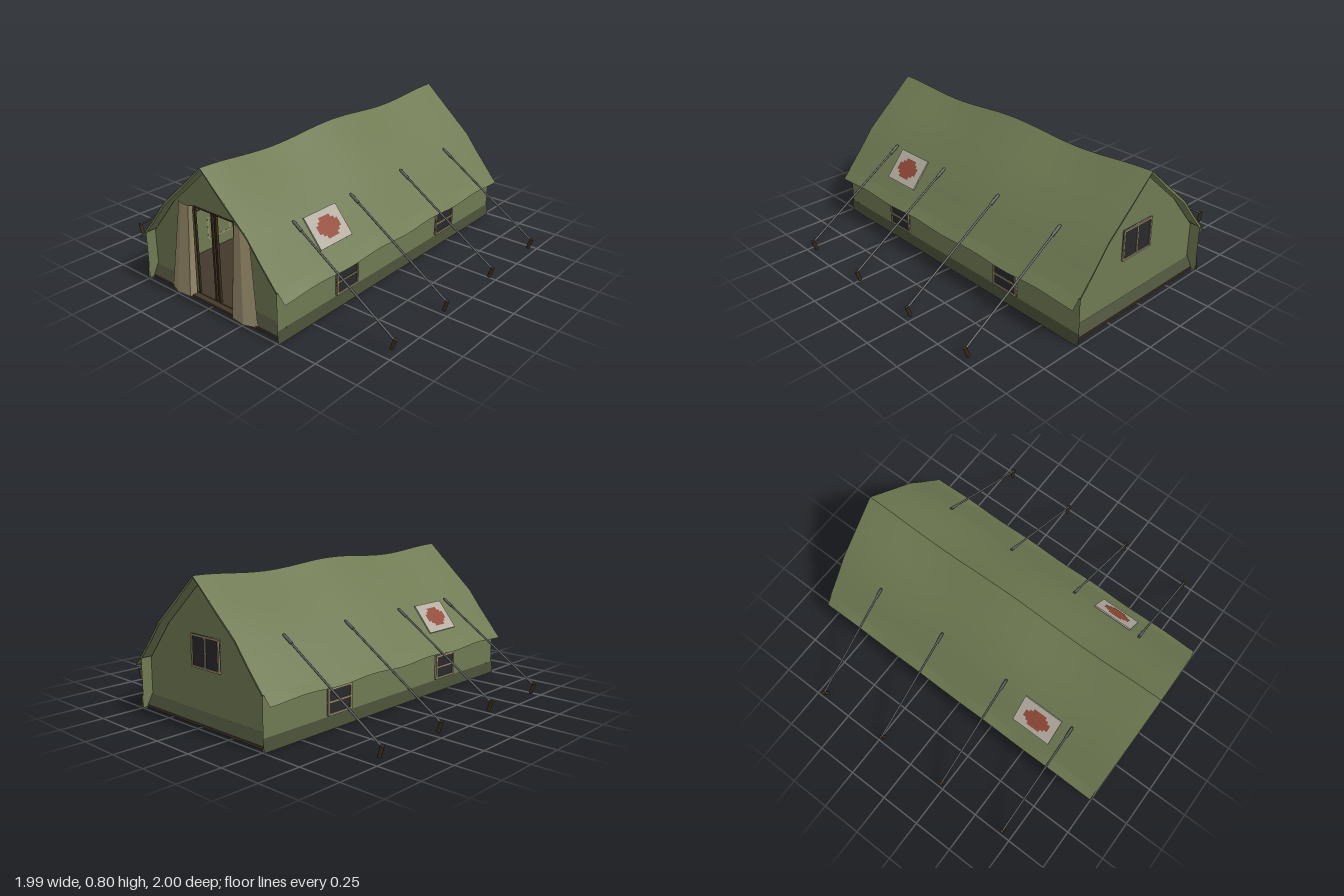
import * as THREE from 'three';
import { toCreasedNormals } from 'three/addons/utils/BufferGeometryUtils.js';

const mat = (name, color, side = THREE.FrontSide) => {
  const m = new THREE.MeshStandardMaterial({ color, side });
  m.name = name;
  return m;
};

// Surface from a rule fn(u, v) -> [x, y, z]; flip reverses the facing
function grid(fn, nu, nv, flip = false) {
  const pos = [], idx = [];
  for (let j = 0; j <= nv; j++) for (let i = 0; i <= nu; i++) pos.push(...fn(i / nu, j / nv));
  for (let j = 0; j < nv; j++) for (let i = 0; i < nu; i++) {
    const a = j * (nu + 1) + i, b = a + 1, c = a + nu + 1, d = c + 1;
    if (flip) idx.push(a, c, b, b, c, d);
    else idx.push(a, b, c, b, d, c);
  }
  const g = new THREE.BufferGeometry();
  g.setAttribute('position', new THREE.Float32BufferAttribute(pos, 3));
  g.setIndex(idx);
  return toCreasedNormals(g, 0.25);
}

export function createModel() {
  const tent = new THREE.Group();
  tent.name = 'tent';
  const D = THREE.DoubleSide;
  const canvas = mat('olive canvas', 0x6f7a52, D);
  const skirtMat = mat('dark olive skirt', 0x4a4f38, D);
  const tan = mat('tan lining', 0x978a6a, D);
  const floorMat = mat('brown floor', 0x43382a);
  const wood = mat('dark wood', 0x3a2d1c);
  const glass = mat('dark glass', 0x29292d);
  const ropeMat = mat('grey rope', 0x5c5d60);
  const white = mat('off white patch', 0xb5afa2, D);
  const red = mat('red patch', 0x924a38, D);

  const add = (name, geo, material, parent = tent) => {
    const m = new THREE.Mesh(geo, material);
    m.name = name;
    parent.add(m);
    return m;
  };
  const box = (name, w, h, d, x, y, z, material, parent) => {
    const m = add(name, new THREE.BoxGeometry(w, h, d), material, parent);
    m.position.set(x, y, z);
    return m;
  };
  // Straight rod between two points
  const rod = (name, a, b, r, material) => {
    const dir = b.clone().sub(a);
    const m = add(name, new THREE.CylinderGeometry(r, r, dir.length(), 8), material);
    m.position.copy(a).add(b).multiplyScalar(0.5);
    m.quaternion.setFromUnitVectors(new THREE.Vector3(0, 1, 0), dir.normalize());
  };
  // Framed window facing +z, with a bar across or upright
  const makeWindow = (w, h, upright) => {
    const g = new THREE.Group(), t = 0.011;
    g.name = 'window';
    box('windowGlass', w, h, 0.006, 0, 0, 0.004, glass, g);
    for (const k of [-1, 1]) {
      box('windowFrame', w, t, 0.014, 0, k * (h - t) / 2, 0.005, tan, g);
      box('windowFrame', t, h, 0.014, k * (w - t) / 2, 0, 0.005, tan, g);
    }
    if (upright) box('windowBar', 0.012, h, 0.012, 0, 0, 0.005, tan, g);
    else box('windowBar', w, 0.009, 0.012, 0, 0, 0.005, tan, g);
    tent.add(g);
    return g;
  };

  const gableZ = 0.93;
  box('floor', 0.99, 0.012, 1.94, 0, 0.006, 0, floorMat);

  // Gable ends, the front one with a doorway
  const gable = (door) => {
    const s = new THREE.Shape();
    s.moveTo(-0.5, 0);
    if (door) {
      s.lineTo(-0.155, 0); s.lineTo(-0.155, 0.53);
      s.lineTo(0.155, 0.53); s.lineTo(0.155, 0);
    }
    s.lineTo(0.5, 0); s.lineTo(0.5, 0.28); s.lineTo(0.31, 0.51);
    s.lineTo(0, 0.785); s.lineTo(-0.31, 0.51); s.lineTo(-0.5, 0.28);
    return new THREE.ShapeGeometry(s);
  };
  add('frontWall', gable(true), canvas).position.z = gableZ;
  const back = add('backWall', gable(false), canvas);
  back.position.z = -gableZ;
  back.rotation.y = Math.PI;
  const backWindow = makeWindow(0.23, 0.18, true);
  backWindow.position.set(0, 0.39, -gableZ);
  backWindow.rotation.y = Math.PI;

  // Flared skirt across the back
  add('backSkirt', grid((u, v) => [(0.5 - u) * 1.0, 0.07 * v, -0.97 + 0.036 * v], 1, 1), skirtMat);

  // Roof profile, sagging between the ridge supports
  const roofLine = [[0, 0.8], [0.16, 0.657], [0.315, 0.52], [0.405, 0.407], [0.508, 0.287]];
  const sag = (z) => 0.0135 * (1 - Math.cos(2 * Math.PI * z));

  for (const s of [-1, 1]) {
    const L = s < 0;
    // Roof slope and the hanging eave flap with a wavy hem
    add('roofSlope', grid((u, v) => {
      const i = Math.round(u * 4), z = 1 - 2 * v;
      const k = [1, 0.8, 0.25, 0.1, 0][i];
      return [s * roofLine[i][0], roofLine[i][1] - sag(z) * k, z];
    }, 4, 32, L), canvas);
    add('eaveFlap', grid((u, v) => {
      const z = 0.995 - 1.99 * v, hem = 0.243 - 0.006 * Math.cos(4 * Math.PI * z);
      return [s * (0.506 + 0.049 * u), 0.291 + (hem - 0.291) * u, z];
    }, 1, 32, L), canvas);
    // Thick hem along both roof edges
    for (const z of [-0.996, 0.996]) {
      add('roofHem', grid((u, v) => {
        const p = roofLine[Math.round(u * 4)];
        return [s * Math.max(p[0] - 0.008 * v, 0), p[1] - 0.012 * v, z];
      }, 4, 1, (z > 0) === L), canvas);
    }

    // Side wall and skirt
    add('sideWall', grid((u, v) => [s * 0.5, 0.287 * (1 - u), 0.995 - 1.99 * v], 1, 1, L), canvas);
    add('sideSkirt', grid((u, v) => [s * (0.503 + 0.009 * u), 0.07 * (1 - u), 1 - 2 * v], 1, 1, L), skirtMat);
    add('frontSkirt', grid((u, v) => [s * (0.16 + 0.345 * u), 0.07 * v, 0.97 - 0.036 * v], 1, 1, L), skirtMat);

    // Side windows
    for (const z of [-0.465, 0.465]) {
      const w = makeWindow(0.18, 0.145, false);
      w.position.set(s * 0.501, 0.148, z);
      w.rotation.y = s * Math.PI / 2;
    }

    // Door curtain, folded back and flared at the foot
    const topX = [0.155, 0.172, 0.22, 0.262], footX = [0.152, 0.165, 0.255, 0.332];
    const topZ = [0.935, 0.95, 0.955, 0.937], footZ = [0.945, 0.985, 0.995, 0.965];
    add('doorCurtain', grid((u, v) => {
      const i = Math.round(u * 3);
      return [s * (footX[i] + (topX[i] - footX[i]) * v), 0.004 + 0.528 * v,
        footZ[i] + (topZ[i] - footZ[i]) * v];
    }, 3, 1, L), tan);

    // Door posts
    box('doorPost', 0.01, 0.53, 0.012, s * 0.15, 0.265, 0.925, wood);
    box('centrePost', 0.012, 0.53, 0.016, s * 0.013, 0.265, 0.925, wood);

    // Roof patch with a stepped red mark
    const patch = new THREE.Group();
    patch.name = 'roofPatch';
    const plate = box('patchPlate', 0.25, 0.19, 0.008, 0, 0, 0, white, patch);
    plate.position.z = 0.002;
    const mark = new THREE.Shape();
    const q = [[0.083, 0.024], [0.062, 0.024], [0.062, 0.04], [0.042, 0.04], [0.042, 0.06]];
    const r = [...q].reverse();
    mark.setFromPoints([
      ...q, ...r.map(([x, y]) => [-x, y]),
      ...q.map(([x, y]) => [-x, -y]), ...r.map(([x, y]) => [x, -y]),
    ].map(([x, y]) => new THREE.Vector2(x, y)));
    add('patchMark', new THREE.ShapeGeometry(mark), red, patch).position.z = 0.009;
    patch.rotation.order = 'YXZ';
    patch.rotation.set(-Math.atan2(0.193, 0.233), s * Math.PI / 2, 0);
    patch.position.set(s * 0.399, 0.423, 0.5);
    tent.add(patch);

    // Guy ropes and pegs
    for (const z of [-0.695, -0.232, 0.232, 0.69]) {
      const V = (x, y) => new THREE.Vector3(s * x, y, z);
      rod('guyRope', V(0.33, 0.503), V(0.982, 0.073), 0.006, ropeMat);
      rod('ropeToggle', V(0.335, 0.5), V(0.39, 0.464), 0.0085, ropeMat);
      rod('peg', V(0.986, 0.08), V(0.966, 0.018), 0.011, wood);
    }
  }
  // Lintel and sill of the doorway
  box('doorLintel', 0.31, 0.01, 0.012, 0, 0.527, 0.925, wood);
  box('doorSill', 0.31, 0.012, 0.012, 0, 0.008, 0.93, wood);
  return tent;
}
